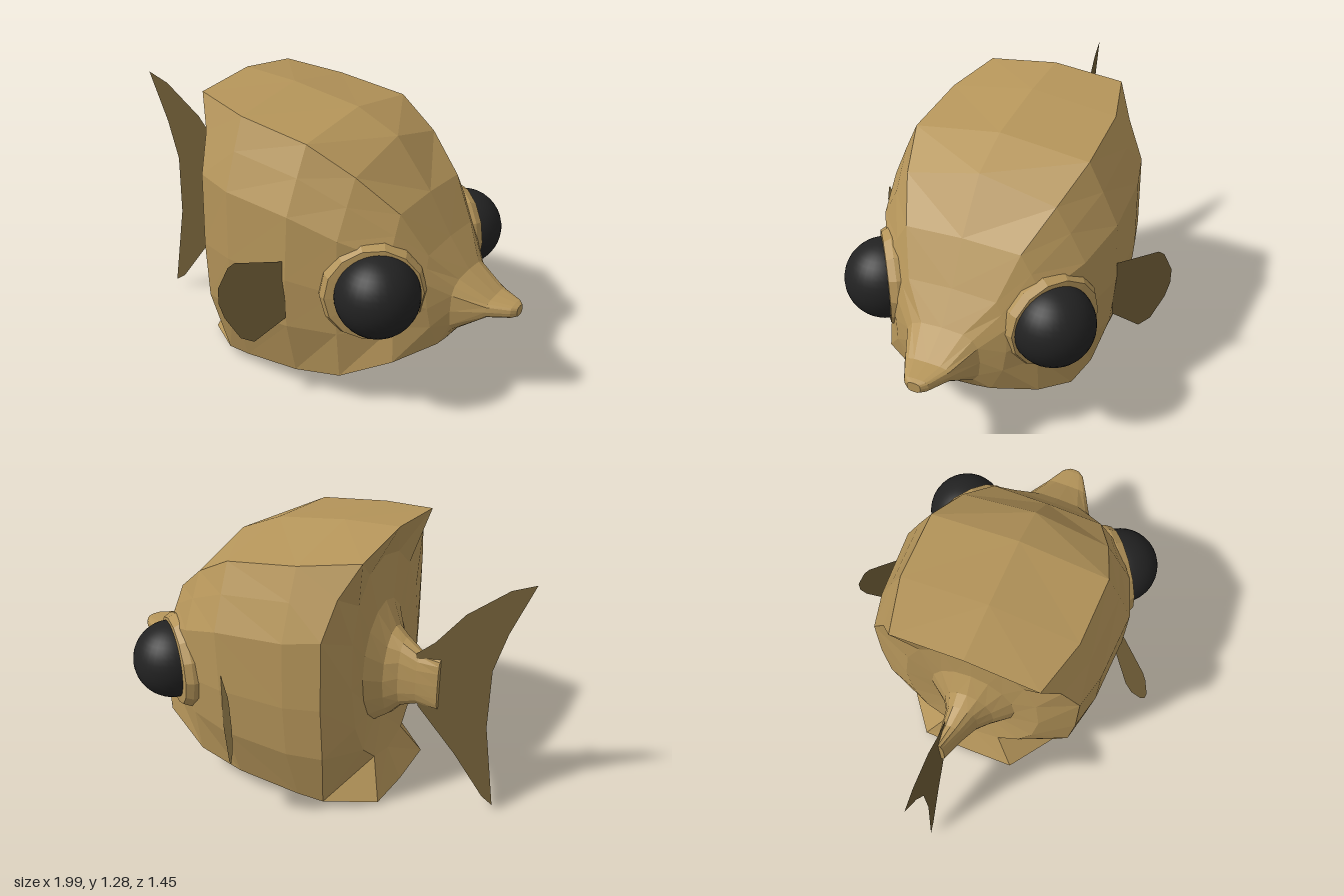
import * as THREE from 'three';

const bodyMat = new THREE.MeshStandardMaterial({ color: 0xb5955a });
bodyMat.name = 'sandy scales';
const finMat = new THREE.MeshStandardMaterial({ color: 0x6e5c36, side: THREE.DoubleSide });
finMat.name = 'dark fin';
const eyeMat = new THREE.MeshStandardMaterial({ color: 0x222222 });
eyeMat.name = 'black eye';

const lerp = THREE.MathUtils.lerp;

// Half section of an oval: nine points from top centre, round the +z side, to bottom centre
function oval(x, top, bottom, w, power = 1, lean = 0) {
  return Array.from({ length: 9 }, (_, i) => {
    const a = (i / 8) * Math.PI, c = Math.cos(a);
    const y = (top + bottom) / 2 + (top - bottom) / 2 * Math.sign(c) * Math.abs(c) ** power;
    return [x + lean * (1 - c) / 2, y, w * Math.sin(a) ** power];
  });
}

// Half section of the trunk: a roof crease, flat flanks of half width w, and a belly crease
function trunk(x, top, roofY, roofZ, w, bellyY, bellyZ, bottom, lean = 0) {
  const flank = (t, z) => [x + lean * (1 - t), lerp(bellyY, roofY, t), z];
  return [
    [x, top, 0],
    flank(1, roofZ),
    flank(0.88, lerp(roofZ, w, 0.48)),
    flank(0.74, w),
    flank(0.47, w * 1.01),
    flank(0.25, w * 0.97),
    flank(0, bellyZ),
    [x + lean, lerp(bottom, bellyY, 0.4), bellyZ * 0.6],
    [x + lean, bottom, 0],
  ];
}

// Rear rim: the trunk section swept back into points at the top and the bottom
const rimSweep = [-0.1, -0.1, -0.03, 0, 0, 0, 0.04, -0.16, -0.16];
const rearRim = trunk(-0.3, 1.285, 1.25, 0.32, 0.47, 0.05, 0.38, 0.003)
  .map(([x, y, z], i) => [x + rimSweep[i], y, z]);

// Half sections from the tail stem to the snout
const sections = [
  oval(-0.64, 0.74, 0.49, 0.022, 0.7),
  oval(-0.54, 0.74, 0.48, 0.05, 0.8),
  oval(-0.46, 0.78, 0.44, 0.075, 0.8),
  oval(-0.405, 0.82, 0.37, 0.12),
  oval(-0.35, 0.93, 0.33, 0.2),
  oval(-0.335, 1.14, 0.16, 0.32, 0.9, -0.055),
  rearRim,
  trunk(-0.14, 1.26, 1.205, 0.39, 0.51, 0.06, 0.4, 0.01),
  trunk(0.19, 1.2, 1.15, 0.4, 0.53, 0.1, 0.435, 0.04, -0.04),
  trunk(0.385, 1.105, 1.03, 0.34, 0.47, 0.14, 0.425, 0.09, -0.015),
  trunk(0.55, 0.89, 0.88, 0.26, 0.36, 0.25, 0.36, 0.19, 0.04),
  trunk(0.655, 0.71, 0.7, 0.2, 0.255, 0.3, 0.2, 0.28, 0.06),
  oval(0.75, 0.578, 0.33, 0.17, 0.6),
  oval(0.88, 0.495, 0.42, 0.105, 0.6),
  oval(0.97, 0.482, 0.427, 0.055, 0.6),
  oval(0.99, 0.475, 0.43, 0.03, 0.7),
];

// Faceted skin through the mirrored sections, closed at both ends
function loftBody() {
  const rings = sections.map((half) => {
    // the tail stem bends slightly sideways
    const full = [...half, ...half.slice(1, -1).reverse().map(([x, y, z]) => [x, y, -z])];
    const bend = 0.18 * Math.min(0, half[0][0] + 0.41);
    return full.map(([x, y, z]) => [x, y, z + bend]);
  });
  const n = rings[0].length, pos = [];
  const tri = (...pts) => pts.forEach((p) => pos.push(...p));
  for (let r = 0; r < rings.length - 1; r++) {
    const a = rings[r], b = rings[r + 1];
    for (let i = 0; i < n; i++) {
      const j = (i + 1) % n;
      // mirrored diagonals so both flanks match
      if (i < n / 2) {
        tri(a[i], a[j], b[i]);
        tri(a[j], b[j], b[i]);
      } else {
        tri(a[i], a[j], b[j]);
        tri(a[i], b[j], b[i]);
      }
    }
  }
  const tail = rings[0], tip = rings[rings.length - 1];
  for (let i = 1; i < n - 1; i++) {
    tri(tail[0], tail[i + 1], tail[i]);
    tri(tip[0], tip[i], tip[i + 1]);
  }
  const g = new THREE.BufferGeometry();
  g.setAttribute('position', new THREE.Float32BufferAttribute(pos, 3));
  g.computeVertexNormals();
  return g;
}

// Flat fin from an outline in x and y, with z following a rule of x
function fin(name, outline, zOf) {
  const g = new THREE.ShapeGeometry(new THREE.Shape(outline.map(([x, y]) => new THREE.Vector2(x, y))));
  const p = g.attributes.position;
  for (let i = 0; i < p.count; i++) p.setZ(i, zOf(p.getX(i)));
  g.computeVertexNormals();
  const m = new THREE.Mesh(g, finMat);
  m.name = name;
  return m;
}

function eye(side) {
  const group = new THREE.Group();
  group.name = side > 0 ? 'leftEye' : 'rightEye';
  // socket collar, its axis turned outward and forward
  const profile = [[0.19, -0.13], [0.222, -0.08], [0.222, -0.025], [0.205, 0.008], [0.165, 0.012]];
  const collarGeo = new THREE.LatheGeometry(profile.map(([r, y]) => new THREE.Vector2(r, y)), 14).toNonIndexed();
  collarGeo.computeVertexNormals();
  const collar = new THREE.Mesh(collarGeo, bodyMat);
  collar.name = 'eyeSocket';
  collar.quaternion.setFromUnitVectors(new THREE.Vector3(0, 1, 0), new THREE.Vector3(0.6, 0, 0.8 * side));
  collar.position.set(0.515, 0.565, 0.397 * side);
  const ball = new THREE.Mesh(new THREE.SphereGeometry(0.179, 32, 20), eyeMat);
  ball.name = 'eyeball';
  ball.position.set(0.53, 0.57, 0.396 * side);
  group.add(collar, ball);
  return group;
}

export function createModel() {
  const fish = new THREE.Group();
  fish.name = 'fish';
  const body = new THREE.Mesh(loftBody(), bodyMat);
  body.name = 'body';
  fish.add(body);

  // crescent tail, bent slightly sideways
  const tailOutline = [[-0.53, 0.745], [-0.61, 0.82], [-0.73, 0.98], [-0.9, 1.125], [-1, 1.17], [-0.91, 0.93],
    [-0.86, 0.74], [-0.86, 0.45], [-0.92, 0.04], [-0.87, 0.075], [-0.73, 0.27], [-0.55, 0.48]];
  fish.add(fin('tailFin', tailOutline, (x) => -0.045 + (-0.6 - x) * 0.13));

  // side fins, swept outward to the rear
  const sideOutline = [[0.165, 0.675], [0.02, 0.69], [0, 0.67], [-0.03, 0.58], [-0.03, 0.51], [-0.015, 0.44],
    [0.03, 0.335], [0.07, 0.31], [0.165, 0.41]];
  for (const side of [1, -1]) {
    fish.add(fin(side > 0 ? 'leftSideFin' : 'rightSideFin', sideOutline, (x) => side * (0.525 + (0.165 - x) * 1.02)));
    fish.add(eye(side));
  }
  return fish;
}
